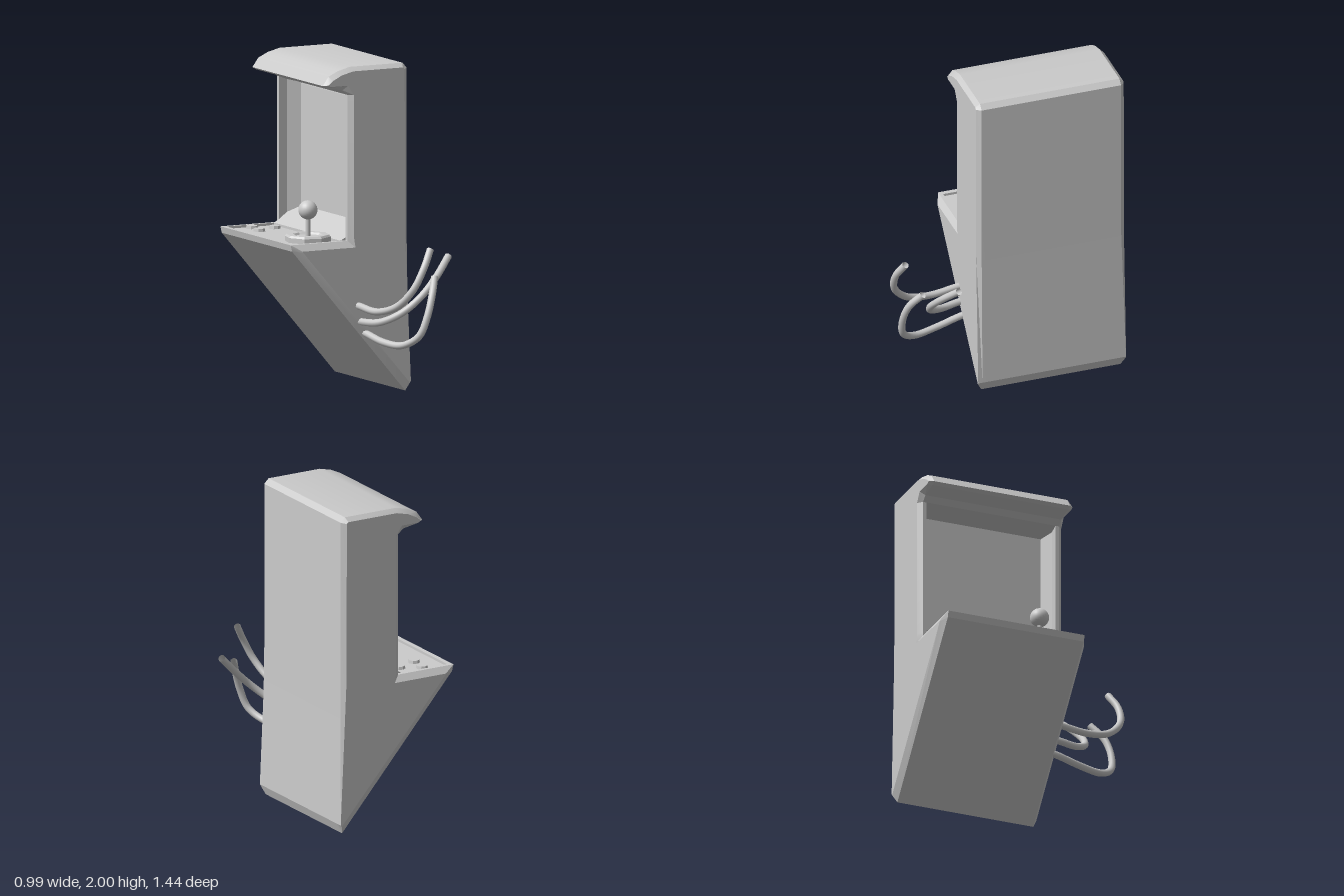
import * as THREE from 'three';
import { toCreasedNormals } from 'three/addons/utils/BufferGeometryUtils.js';

const grey = () => new THREE.MeshStandardMaterial({ color: 0xcccccc });

// Skin a row of equal-length [x, y] outlines (clockwise seen from +z), closing both ends.
function loft(sections) {
  const pos = [];
  const A = new THREE.Vector3(), B = new THREE.Vector3();
  const tri = (a, b, c) => {
    A.subVectors(b, a).cross(B.subVectors(c, a));
    if (A.length() > 1e-7) pos.push(...a, ...b, ...c);
  };
  const rings = sections.map(([z, pts]) => pts.map(([x, y]) => new THREE.Vector3(x, y, z)));
  const n = rings[0].length;
  for (let s = 0; s + 1 < rings.length; s++) {
    for (let i = 0; i < n; i++) {
      const j = (i + 1) % n, p = rings[s], q = rings[s + 1];
      tri(p[i], q[i], p[j]);
      tri(p[j], q[i], q[j]);
    }
  }
  for (const [ring, sign] of [[rings[0], -1], [rings[rings.length - 1], 1]]) {
    const flat = ring.map((v) => new THREE.Vector2(v.x, v.y));
    for (const [a, b, c] of THREE.ShapeUtils.triangulateShape(flat, [])) {
      const area = THREE.ShapeUtils.area([flat[a], flat[b], flat[c]]);
      if (area * sign > 0) tri(ring[a], ring[b], ring[c]);
      else tri(ring[a], ring[c], ring[b]);
    }
  }
  const geo = new THREE.BufferGeometry();
  geo.setAttribute('position', new THREE.Float32BufferAttribute(pos, 3));
  return toCreasedNormals(geo, 0.35);
}

export function createModel() {
  const model = new THREE.Group();
  model.name = 'arcadeCabinet';

  const add = (parent, name, geo, x = 0, y = 0, z = 0, material = grey()) => {
    const mesh = new THREE.Mesh(geo, material);
    mesh.name = name;
    mesh.position.set(x, y, z);
    parent.add(mesh);
    return mesh;
  };

  // Outline pieces: back and slope, then console and screen front, then the hood
  const back = [[0.27, 2], [0.3, 1.97], [0.3, 0.95], [0.315, 0.06], [0.29, 0], [-0.485, 0.9], [-0.495, 0.94]];
  const hood = [[-0.14, 1.86], [-0.25, 1.88], [-0.275, 1.895], [-0.235, 1.95], [-0.17, 1.98], [-0.09, 2]];
  const front = [[-0.465, 0.94], [-0.465, 0.94], [-0.14, 0.94], [-0.14, 0.94],
    [-0.105, 0.94], [-0.105, 0.96], [-0.105, 1.8], [-0.105, 1.83]];
  // Sunken console panel and screen opening; depth is the screen's x
  const sunk = (depth, low, high) => [[-0.465, 0.94], [-0.465, 0.925], [-0.14, 0.925], [-0.14, 0.94],
    [-0.105, 0.96], [depth, low], [depth, high], [-0.105, 1.83]];

  const full = [...back, ...front, ...hood];
  const outer = sunk(-0.05, 1.0, 1.81);
  const inner = sunk(0.03, 1.04, 1.79);

  // Inset outline of the flat side faces
  const side = [
    [0.26, 1.975], [0.272, 1.965], [0.275, 0.95], [0.315, 0.06], [0.308, 0.05], [-0.425, 0.895], [-0.425, 0.9],
    [-0.41, 0.9], [-0.4, 0.9], [-0.14, 0.9], [-0.1, 0.9], [-0.065, 0.9], [-0.075, 0.96], [-0.075, 1.8], [-0.075, 1.83],
    [-0.115, 1.89], [-0.235, 1.89], [-0.25, 1.9], [-0.22, 1.925], [-0.16, 1.955], [-0.08, 1.975],
  ];

  const sunkOuter = [...back, ...outer, ...hood];
  const sunkInner = [...back, ...inner, ...hood];
  add(model, 'cabinetBody', loft([
    [-0.72, side], [-0.693, full], [-0.67, full], [-0.67, sunkOuter], [-0.63, sunkInner],
    [0.135, sunkInner], [0.175, sunkOuter], [0.175, full], [0.198, full], [0.225, side],
  ]));

  // Screen panel
  add(model, 'screen', new THREE.BoxGeometry(0.01, 0.74, 0.755), 0.028, 1.415, -0.2475);

  // Joystick
  const stick = new THREE.Group();
  stick.name = 'joystick';
  stick.position.set(-0.27, 0, 0);
  model.add(stick);
  const baseProfile = [[0, 0.925], [0.14, 0.925], [0.14, 0.955], [0.13, 0.967], [0.09, 0.967], [0.08, 0.955], [0, 0.955]]
    .map(([r, y]) => new THREE.Vector2(r, y));
  const base = add(stick, 'joystickBase', toCreasedNormals(new THREE.LatheGeometry(baseProfile, 8), 0.3));
  base.rotation.y = 0.14;
  add(stick, 'joystickShaft', new THREE.CylinderGeometry(0.015, 0.015, 0.14, 12), 0, 1.015, 0);
  add(stick, 'joystickBall', new THREE.SphereGeometry(0.058, 24, 16), 0, 1.115, 0);

  // Push buttons
  for (const [x, z] of [[-0.32, -0.615], [-0.335, -0.495], [-0.2, -0.55]]) {
    const cap = toCreasedNormals(new THREE.CylinderGeometry(0.034, 0.037, 0.02, 8), 0.3);
    add(model, 'button', cap, x, 0.933, z).rotation.y = 0.14;
  }

  // Loose cables bending out of the side
  const cables = [
    [[-0.045, 0.55, 0.15], [-0.04, 0.54, 0.25], [-0.02, 0.53, 0.42], [0.03, 0.58, 0.58],
      [0.085, 0.69, 0.68], [0.15, 0.82, 0.695], [0.215, 0.925, 0.655]],
    [[-0.03, 0.45, 0.15], [-0.02, 0.445, 0.24], [0.03, 0.455, 0.36], [0.12, 0.515, 0.46],
      [0.23, 0.61, 0.5], [0.35, 0.72, 0.475], [0.475, 0.835, 0.405]],
    [[0.01, 0.38, 0.15], [0.015, 0.365, 0.24], [0.04, 0.335, 0.4], [0.085, 0.335, 0.55],
      [0.145, 0.4, 0.645], [0.19, 0.52, 0.665], [0.235, 0.64, 0.64], [0.29, 0.74, 0.57]],
  ];
  for (const points of cables) {
    const curve = new THREE.CatmullRomCurve3(points.map((p) => new THREE.Vector3(...p)));
    const material = grey();
    material.side = THREE.DoubleSide;
    add(model, 'cable', new THREE.TubeGeometry(curve, 40, 0.022, 10), 0, 0, 0, material);
  }

  return model;
}
